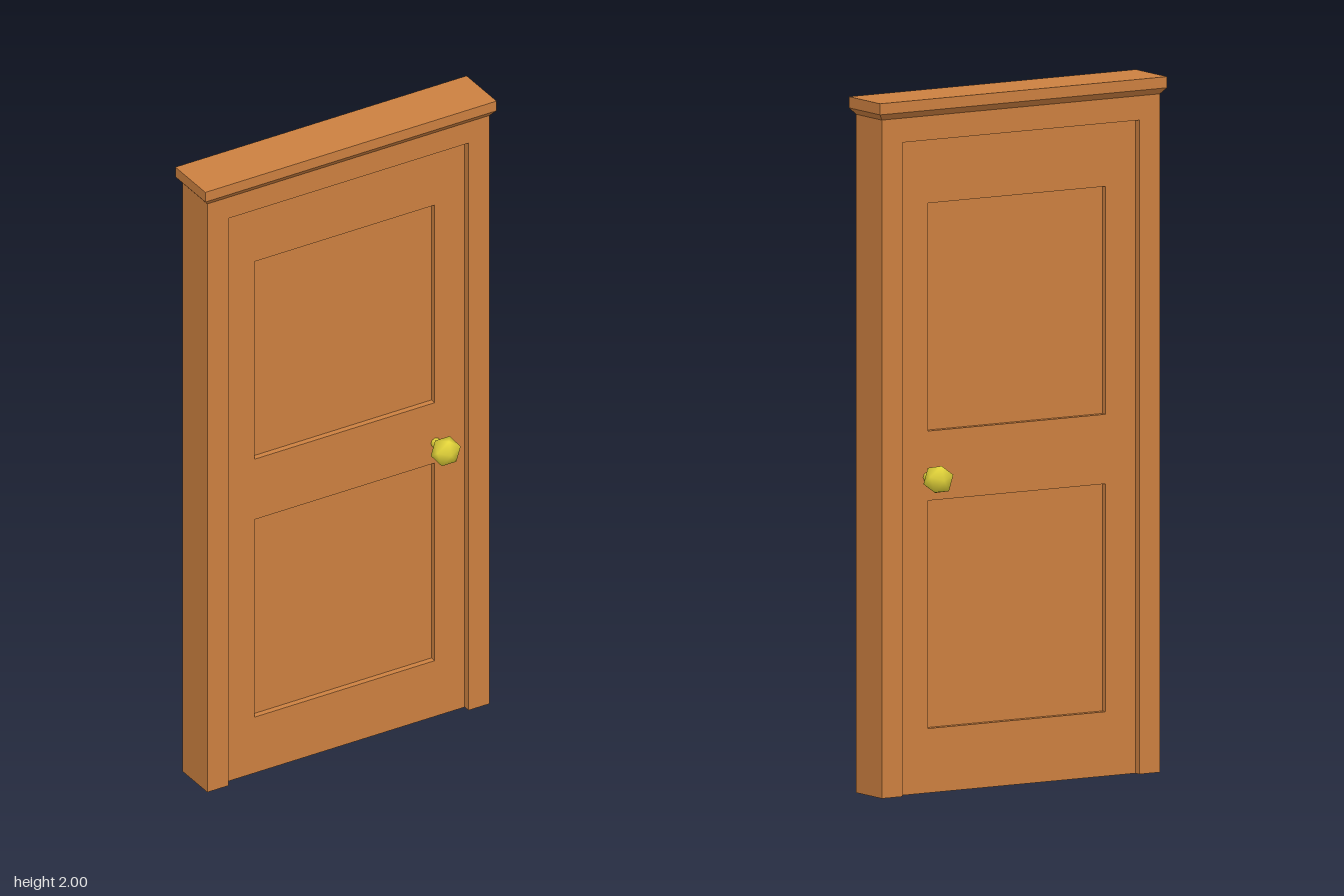
import * as THREE from 'three';
import { ConvexGeometry } from 'three/addons/geometries/ConvexGeometry.js';
import { mergeVertices } from 'three/addons/utils/BufferGeometryUtils.js';

const wood = new THREE.MeshStandardMaterial({ color: 0xcc8040 });
const brass = new THREE.MeshStandardMaterial({ color: 0xe3d43a });

const HALF_W = 0.47, FRAME_Z = 0.068, DOOR_Z = 0.047, PANEL_Z = 0.029;
const OPEN_W = 0.4, OPEN_TOP = 1.88;
const PANELS = [[0.185, 0.84], [1.04, 1.695]];

function part(name, geometry, material, x = 0, y = 0, z = 0) {
  const mesh = new THREE.Mesh(geometry, material);
  mesh.name = name;
  mesh.position.set(x, y, z);
  return mesh;
}

const polygon = (pts) => pts.map(([x, y]) => new THREE.Vector2(x, y));
const rect = (w, y0, y1) => polygon([[-w, y0], [w, y0], [w, y1], [-w, y1]]);

// Extrude a flat outline symmetrically about z = 0
function slab(outline, halfDepth, holes = []) {
  const shape = new THREE.Shape(outline);
  shape.holes = holes.map((h) => new THREE.Path(h));
  return new THREE.ExtrudeGeometry(shape, { depth: 2 * halfDepth, bevelEnabled: false })
    .translate(0, 0, -halfDepth);
}

// Faceted ball: two staggered rings of five points between two poles
function knobGeometry() {
  const points = [new THREE.Vector3(0, 0, 0.031), new THREE.Vector3(0, 0, -0.031)];
  for (const side of [1, -1]) {
    for (let i = 0; i < 5; i++) {
      const a = (i / 5) * Math.PI * 2;
      points.push(new THREE.Vector3(0.041 * Math.sin(a), side * 0.041 * Math.cos(a), side * 0.018));
    }
  }
  let geo = new ConvexGeometry(points);
  geo.deleteAttribute('normal');
  geo = mergeVertices(geo);
  geo.computeVertexNormals();
  return geo;
}

export function createModel() {
  const model = new THREE.Group();
  model.name = 'door';

  // Frame: two jambs and a head in one arch
  const arch = polygon([
    [-HALF_W, 0], [-OPEN_W, 0], [-OPEN_W, OPEN_TOP], [OPEN_W, OPEN_TOP],
    [OPEN_W, 0], [HALF_W, 0], [HALF_W, 1.96], [-HALF_W, 1.96],
  ]);
  model.add(part('frame', slab(arch, FRAME_Z), wood));

  // Door leaf with two openings, and the thinner panels set in them
  const holes = PANELS.map(([y0, y1]) => rect(0.3, y0, y1));
  model.add(part('doorLeaf', slab(rect(OPEN_W, 0, OPEN_TOP), DOOR_Z, holes), wood));
  PANELS.forEach(([y0, y1], i) => {
    model.add(part(i ? 'upperPanel' : 'lowerPanel', slab(rect(0.3, y0, y1), PANEL_Z), wood));
  });

  // Cornice: flat cap over a sloped moulding
  model.add(part('corniceCap', new THREE.BoxGeometry(0.97, 0.032, 0.164), wood, 0, 1.984));
  const moulding = new THREE.BoxGeometry(0.97, 0.018, 0.164);
  const p = moulding.attributes.position;
  for (let i = 0; i < p.count; i++) {
    if (p.getY(i) < 0) {
      p.setX(i, Math.sign(p.getX(i)) * HALF_W);
      p.setZ(i, Math.sign(p.getZ(i)) * FRAME_Z);
    }
  }
  moulding.computeVertexNormals();
  model.add(part('corniceMoulding', moulding, wood, 0, 1.959));

  // A knob on a short stem on each face
  const ball = knobGeometry();
  const stem = new THREE.CylinderGeometry(0.015, 0.015, 0.05, 8).rotateX(Math.PI / 2);
  for (const side of [1, -1]) {
    const knob = new THREE.Group();
    knob.name = side > 0 ? 'frontKnob' : 'backKnob';
    knob.add(part('knobBall', ball, brass, 0, 0, 0.104));
    knob.add(part('knobStem', stem, brass, 0, 0, 0.065));
    knob.position.set(0.302, 0.908, 0);
    if (side < 0) knob.rotation.y = Math.PI;
    model.add(knob);
  }
  return model;
}
